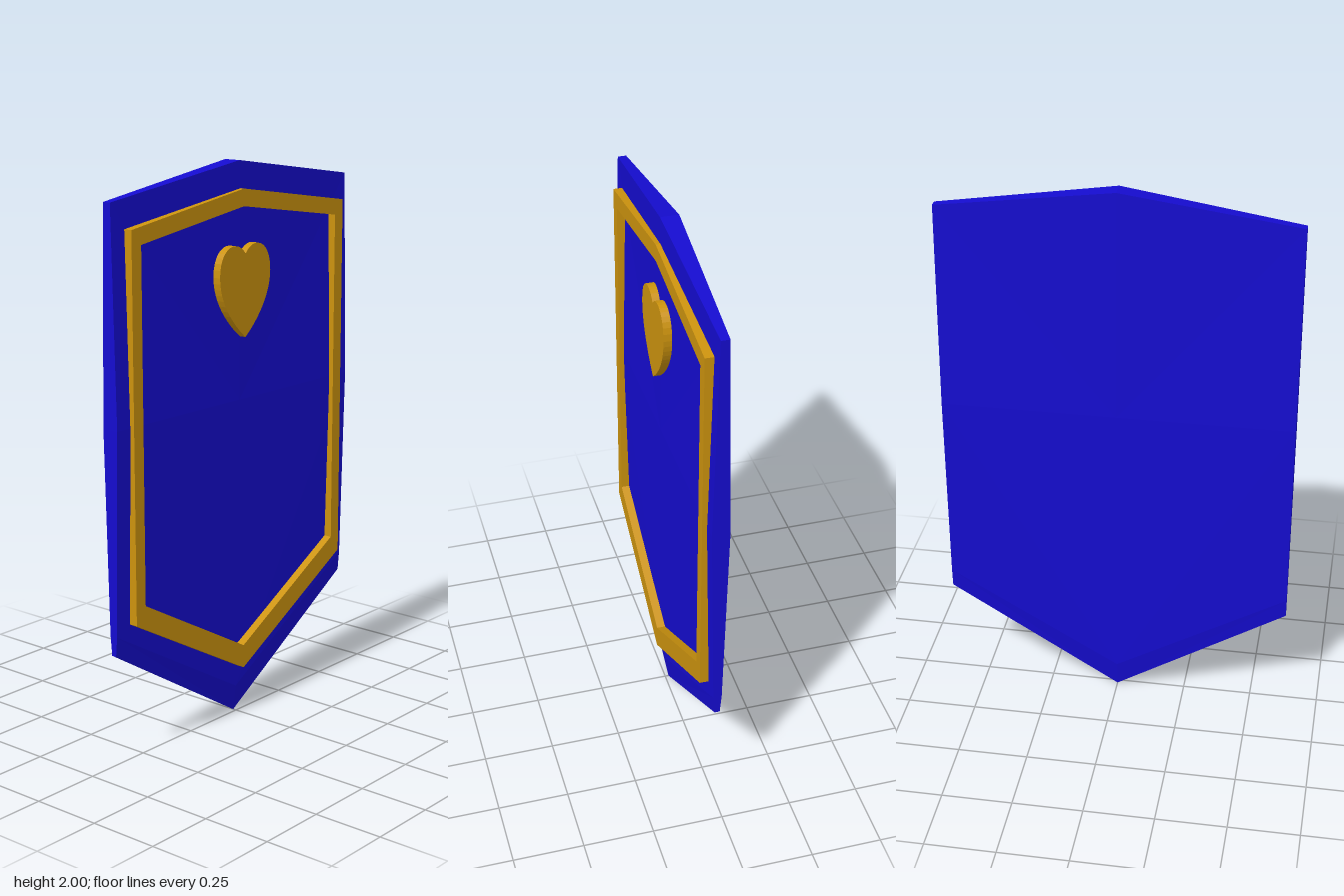
import * as THREE from 'three';

const blue = new THREE.MeshStandardMaterial({ color: 0x150cd0, flatShading: true });
const gold = new THREE.MeshStandardMaterial({ color: 0xcc930e });

// Board rows from top to bottom: height and half thickness at the edge and the middle
const W = 0.62, ZC = -0.015;
const rows = [
  { edgeY: 1.91, midY: 2.0, edgeT: 0.015, midT: 0.032 },
  { edgeY: 1.17, midY: 1.17, edgeT: 0.031, midT: 0.032 },
  { edgeY: 0.46, midY: 0.1, edgeT: 0.015, midT: 0.014 },
  { edgeY: 0.39, midY: 0.005, edgeT: 0.009, midT: 0.002 },
];

function boardGeometry() {
  const pos = [];
  const point = (r, c, face) => {
    const row = rows[r];
    return [c * W, c ? row.edgeY : row.midY, ZC + face * (c ? row.edgeT : row.midT)];
  };
  const tri = (a, b, c, flip) => pos.push(...a, ...(flip ? c : b), ...(flip ? b : c));
  const last = rows.length - 1;
  for (const side of [-1, 1]) {
    // front and back panels
    for (const face of [-1, 1]) {
      const flip = side * face < 0;
      for (let r = 0; r < last; r++) {
        const edge = point(r, side, face), mid = point(r, 0, face);
        const edgeLow = point(r + 1, side, face), midLow = point(r + 1, 0, face);
        tri(edge, mid, midLow, flip);
        tri(edge, midLow, edgeLow, flip);
      }
    }
    // rim walls: top, side and bottom
    const wall = (r0, c0, r1, c1) => {
      const a = point(r0, c0, 1), b = point(r1, c1, 1);
      const c = point(r1, c1, -1), d = point(r0, c0, -1);
      tri(a, b, c, side > 0);
      tri(a, c, d, side > 0);
    };
    wall(0, side, 0, 0);
    for (let r = 0; r < last; r++) wall(r + 1, side, r, side);
    wall(last, 0, last, side);
  }
  const geo = new THREE.BufferGeometry();
  geo.setAttribute('position', new THREE.Float32BufferAttribute(pos, 3));
  geo.computeVertexNormals();
  return geo;
}

// Six-sided shield outline
const outline = (w, top, shoulder, hip, tip) => [
  [0, top], [-w, shoulder], [-w, hip], [0, tip], [w, hip], [w, shoulder],
].map(([x, y]) => new THREE.Vector2(x + 0.004, y));

function extrude(shape, back, front) {
  const geo = new THREE.ExtrudeGeometry(shape, { depth: front - back, bevelEnabled: false, curveSegments: 12 });
  return geo.translate(0, 0, back);
}

export function createModel() {
  const group = new THREE.Group();
  const add = (name, geo, mat) => {
    const mesh = new THREE.Mesh(geo, mat);
    mesh.name = name;
    group.add(mesh);
  };

  add('shieldBoard', boardGeometry(), blue);

  // Raised border strip
  const border = new THREE.Shape(outline(0.562, 1.905, 1.82, 0.49, 0.178));
  border.holes.push(new THREE.Path(outline(0.517, 1.845, 1.768, 0.55, 0.263)));
  add('border', extrude(border, -0.005, 0.033), gold);

  // Heart emblem
  const heart = new THREE.Shape();
  heart.moveTo(0, 1.395);
  heart.bezierCurveTo(0.07, 1.45, 0.135, 1.53, 0.135, 1.615);
  heart.bezierCurveTo(0.135, 1.725, 0.04, 1.74, 0, 1.685);
  heart.bezierCurveTo(-0.04, 1.74, -0.135, 1.725, -0.135, 1.615);
  heart.bezierCurveTo(-0.135, 1.53, -0.07, 1.45, 0, 1.395);
  add('heartEmblem', extrude(heart, 0.005, 0.043), gold);

  return group;
}
